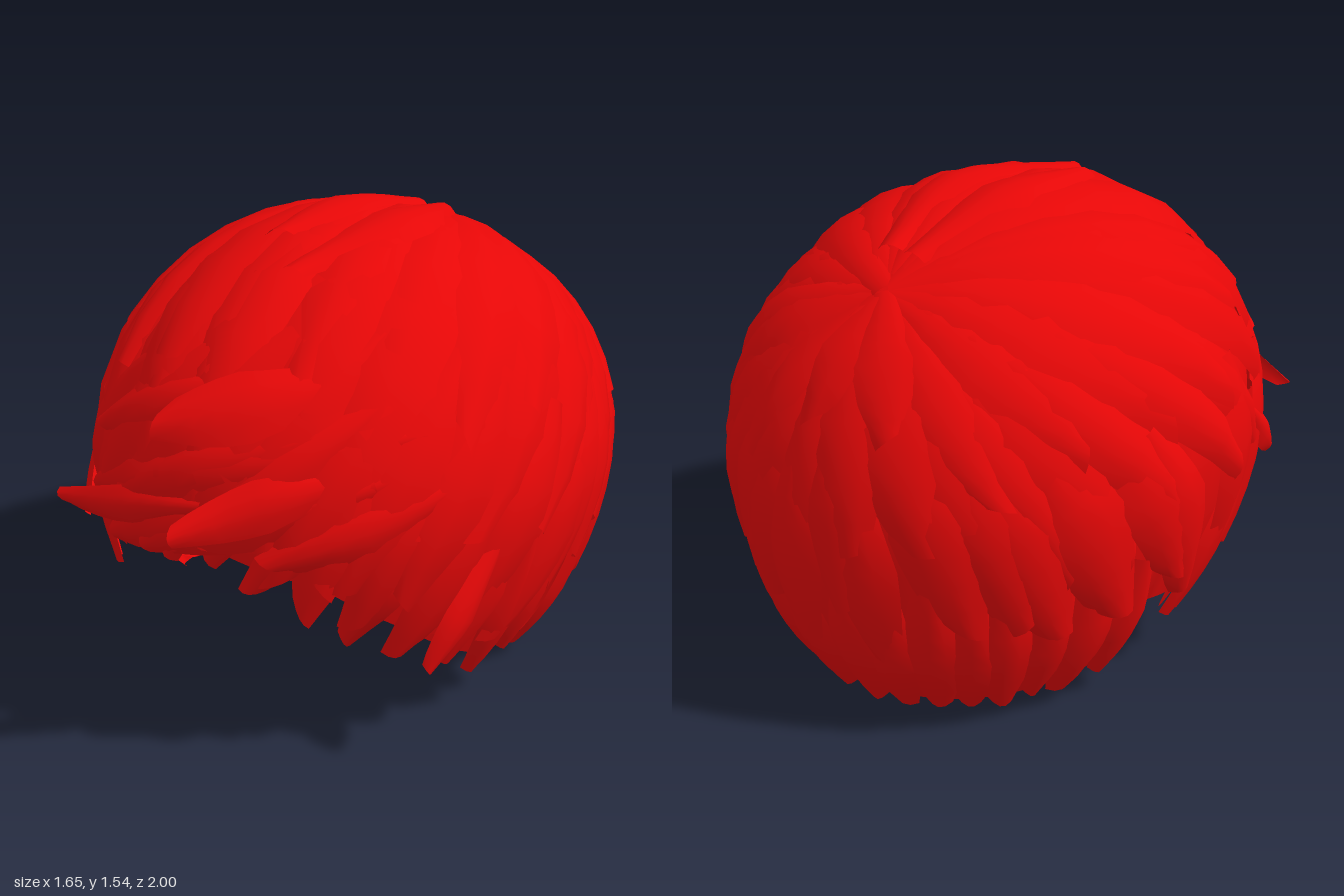
import * as THREE from 'three';

const V = (x, y, z) => new THREE.Vector3(x, y, z);
const C = V(0, 0.75, -0.08); // centre of the head form
const rad = THREE.MathUtils.degToRad;
const UP = 0.78, DOWN = 1.05; // radii above and below the centre

// Head form: an egg leaning slightly forward, narrowing towards the neck.
const onHead = (u, s = 1) => V(
  u.x * 0.83 * s * (1 + 0.1 * Math.min(0, u.y)),
  C.y + u.y * (u.y > 0 ? UP : DOWN) * s,
  C.z + (u.z * 0.925 + 0.06 * u.y) * s);

// Unit direction for an azimuth (0 = front, 90 = model's left) and a height.
function dir(deg, y) {
  const h = THREE.MathUtils.clamp((y - C.y) / (y > C.y ? UP : DOWN), -0.99, 0.999);
  const r = Math.sqrt(1 - h * h);
  return V(Math.sin(rad(deg)) * r, h, Math.cos(rad(deg)) * r);
}

function slerp(a, b, t) {
  const w = a.angleTo(b), s = Math.sin(w);
  if (s < 1e-4) return a.clone();
  return a.clone().multiplyScalar(Math.sin((1 - t) * w) / s)
    .addScaledVector(b, Math.sin(t * w) / s);
}

// Height of the hairline around the head, with a notch at each ear.
const HEM = [[0, 0.73], [28, 0.63], [45, 0.46], [60, 0.29], [74, 0.17], [80, 0.2],
  [84, 0.3], [93, 0.34], [94, 0.06], [130, 0.03], [180, 0.01]];
function hem(deg) {
  const a = Math.abs(((deg + 540) % 360) - 180);
  for (let i = 1; i < HEM.length; i++) {
    const [a0, y0] = HEM[i - 1], [a1, y1] = HEM[i];
    if (a <= a1) return y0 + (y1 - y0) * (a - a0) / (a1 - a0);
  }
  return 0.01;
}

let seed = 7;
const rnd = (a = 0, b = 1) => {
  seed = (seed * 16807) % 2147483647;
  return a + (b - a) * seed / 2147483647;
};

// Surface from a grid of points.
function sheet(rows, cols, at) {
  const pos = [], idx = [];
  for (let i = 0; i <= rows; i++)
    for (let j = 0; j <= cols; j++) pos.push(...at(i / rows, j / cols).toArray());
  for (let i = 0; i < rows; i++)
    for (let j = 0; j < cols; j++) {
      const a = i * (cols + 1) + j, b = a + cols + 1;
      idx.push(a, b, a + 1, b, b + 1, a + 1);
    }
  const g = new THREE.BufferGeometry();
  g.setAttribute('position', new THREE.Float32BufferAttribute(pos, 3));
  g.setIndex(idx);
  g.computeVertexNormals();
  return g;
}

// Arched lock of hair along a list of points, tapering to a blunt slanted tip.
function lockGeometry(points, width, bulge) {
  const curve = new THREE.CatmullRomCurve3(points);
  const slant = rnd(-0.45, 0.45) * width;
  return sheet(8, 4, (t, v) => {
    const p = curve.getPoint(t), tan = curve.getTangent(t);
    const d = p.clone().sub(C);
    const n = V(d.x / 0.69, d.y / (d.y > 0 ? 0.61 : 1.1), d.z / 0.85).normalize();
    const side = V().crossVectors(tan, n).normalize();
    const taper = t < 0.5 ? 0.45 + 1.1 * t : 1 - 0.6 * ((t - 0.5) / 0.5) ** 1.6;
    const s = 1 - 2 * v;
    return p.addScaledVector(side, -s * width * taper)
      .addScaledVector(n, bulge * (1 - s * s) * (0.2 + 0.8 * taper) - 0.015 * s * s)
      .addScaledVector(tan, t > 0.95 ? slant * s : 0);
  });
}

export function createModel() {
  const model = new THREE.Group();
  const red = new THREE.MeshStandardMaterial({ color: 0xe60707, side: THREE.DoubleSide });
  red.name = 'hair red';

  function group(name) {
    const g = new THREE.Group();
    g.name = name;
    model.add(g);
    return g;
  }
  function add(parent, name, geometry) {
    const m = new THREE.Mesh(geometry, red);
    m.name = name;
    parent.add(m);
  }
  // Lock lying on the head between two directions, its tip lifted a little.
  function lay(parent, name, from, to, scale, width, lift) {
    const pts = [];
    for (let i = 0; i <= 6; i++) {
      const t = i / 6;
      pts.push(onHead(slerp(from, to, t), scale + lift * t * t));
    }
    add(parent, name, lockGeometry(pts, width, 0.022));
  }

  // Inner cap, open at the face; its rim is set so that it reaches the hairline
  const capScale = 0.935;
  add(model, 'cap', sheet(14, 120, (t, v) => {
    const rim = dir(v * 360, C.y + (hem(v * 360) - C.y) / capScale);
    return onHead(slerp(V(0, 1, 0), rim, t), capScale);
  }));

  // Locks hanging from the hairline
  const hemLocks = group('hemLocks');
  for (let deg = -180; deg < 180; deg += 10) {
    const a = deg + rnd(-2, 2), front = Math.max(0, Math.cos(rad(a)));
    if (Math.abs(Math.abs(a) - 91) < 6) continue;
    const y = Math.max(0.03, hem(a) - rnd(-0.03, 0.07));
    lay(hemLocks, 'hemLock', dir(a + 24 * front + rnd(-5, 5), y + rnd(0.45, 0.6)),
      dir(a - 8 * front, y), 0.962, rnd(0.08, 0.11), rnd(0, 0.02));
  }

  // Middle layer, leaning forward on the sides and swept to the right at the fringe
  const middleLocks = group('middleLocks');
  for (let deg = -180; deg < 180; deg += 12) {
    const a = deg + rnd(-4, 4), front = Math.max(0, Math.cos(rad(a)));
    const back = Math.sin(rad(a)) * 24 * (1 - front);
    const y = Math.max(0.24, hem(a)) + rnd(0.03, 0.22) - 0.05 * front;
    lay(middleLocks, 'middleLock', dir(a + 34 * front + back, Math.min(1.35, y + 0.65)),
      dir(a - 8 * front, y), 0.97, rnd(0.11, 0.15), rnd(0, 0.025));
  }

  // Long locks radiating from the crown
  const crown = V(-0.04, 0.76, -0.62).normalize();
  const crownLocks = group('crownLocks');
  for (const [step, lo, hi, scale] of [[15, 0.5, 0.72, 0.972], [20, 0.85, 1.1, 0.978]])
    for (let deg = -180; deg < 180; deg += step) {
      const a = deg + rnd(-4, 4), front = Math.max(0, Math.cos(rad(a)));
      const to = dir(a, rnd(lo, hi) + 0.18 * front);
      lay(crownLocks, 'crownLock', slerp(crown, to, 0.01), to, scale + rnd(-0.004, 0.006),
        rnd(0.12, 0.16), rnd(-0.005, 0.016));
    }

  // Fringe swept from the left temple across the forehead
  const fringe = group('fringe');
  for (const [a0, y0, a1, y1] of [[48, 1.0, -30, 0.61], [40, 0.98, -14, 0.68], [52, 1.1, -40, 0.72],
    [30, 1.12, -22, 0.82], [45, 1.2, 2, 0.78], [20, 1.25, -36, 0.95], [58, 0.95, 18, 0.73]])
    lay(fringe, 'fringeLock', dir(a0, y0), dir(a1, y1), 0.975, 0.09, 0.025);

  // Loose locks standing off the forehead, sides and top
  const loose = group('looseLocks');
  for (const [w, ...p] of [
    [0.08, [0.46, 1.0, 0.6], [0.32, 0.96, 0.76], [0.18, 0.9, 0.87], [0.05, 0.85, 0.99]],
    [0.11, [0.42, 1.25, 0.42], [0.22, 1.21, 0.66], [0.05, 1.16, 0.78], [-0.1, 1.12, 0.85]],
    [0.06, [0.05, 0.88, 0.84], [-0.15, 0.83, 0.83], [-0.35, 0.77, 0.81], [-0.56, 0.72, 0.77]],
    [0.1, [-0.04, 1.43, -0.5], [-0.07, 1.53, -0.12], [-0.1, 1.52, 0.22]],
    [0.1, [0.06, 1.43, -0.5], [0.16, 1.52, -0.1], [0.05, 1.47, 0.36]],
    [0.08, [0.62, 0.9, 0.47], [0.53, 0.64, 0.57], [0.39, 0.42, 0.6]],
    [0.07, [-0.62, 0.85, 0.45], [-0.59, 0.62, 0.54], [-0.5, 0.42, 0.58]],
    [0.06, [0.74, 0.75, 0.25], [0.7, 0.52, 0.43], [0.64, 0.36, 0.52]],
    [0.06, [-0.72, 0.85, 0.3], [-0.68, 0.7, 0.46], [-0.62, 0.58, 0.59]]])
    add(loose, 'looseLock', lockGeometry(p.map((q) => V(...q)), w, 0.015));

  return model;
}
